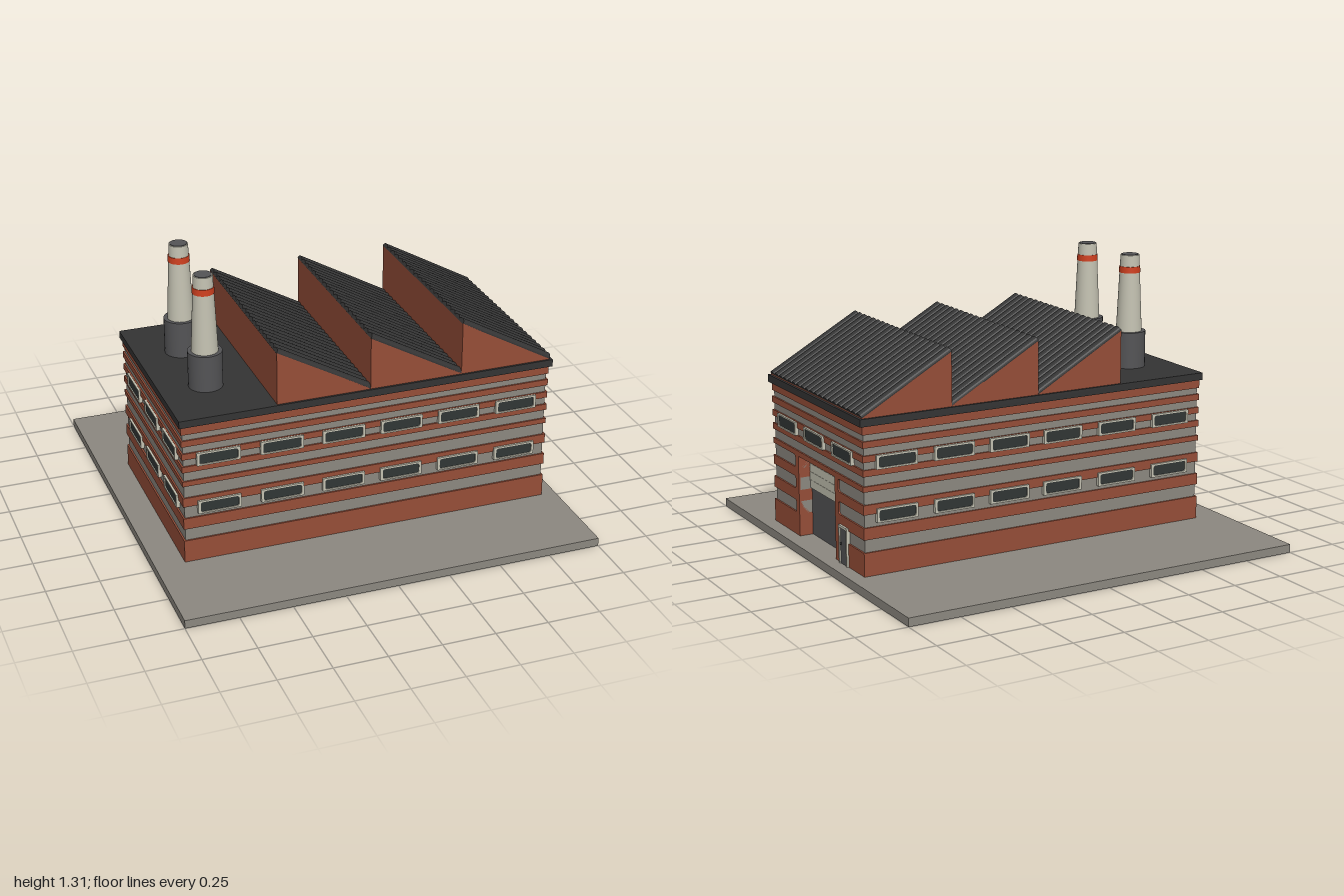
import * as THREE from 'three';

const mat = (name, color) => {
  const m = new THREE.MeshStandardMaterial({ color });
  m.name = name;
  return m;
};

export function createModel() {
  const brick = mat('brick red', 0x964e38);
  const stone = mat('stone grey', 0x8c8880);
  const roofDark = mat('roof dark', 0x343434);
  const cream = mat('cream', 0xc4c2b2);
  const steel = mat('steel grey', 0x545456);
  const glass = mat('window glass', 0x313635);
  const signal = mat('signal red', 0xd0401f);
  const slabStone = mat('slab grey', 0x8c8880);
  slabStone.side = THREE.DoubleSide;

  const model = new THREE.Group();
  model.name = 'factory';
  const add = (name, geo, material, x = 0, y = 0, z = 0, parent = model) => {
    const m = new THREE.Mesh(geo, material);
    m.name = name;
    m.position.set(x, y, z);
    parent.add(m);
    return m;
  };
  // box given by its minimum and maximum corners
  const block = (name, material, x0, x1, y0, y1, z0, z1) =>
    add(name, new THREE.BoxGeometry(x1 - x0, y1 - y0, z1 - z0), material,
      (x0 + x1) / 2, (y0 + y1) / 2, (z0 + z1) / 2);
  const extrude = (shape, depth, curveSegments = 4) =>
    new THREE.ExtrudeGeometry(shape, { depth, bevelEnabled: false, curveSegments });

  const X0 = -0.86, X1 = 0.93, Z0 = -0.44, Z1 = 0.54;
  const GROUND = 0.04, EAVE = 0.73, ROOF = 0.765;
  const GATE0 = -0.145, GATE1 = 0.25, GATE_TOP = 0.43, RECESS = 0.07;

  // Ground slab, open underneath
  const slab = new THREE.BoxGeometry(2, GROUND, 2);
  slab.clearGroups();
  slab.addGroup(0, 18, 0);
  slab.addGroup(24, 12, 0);
  add('groundSlab', slab, [slabStone], 0, GROUND / 2, 0);

  // Walls: stacked courses, the grey ones set back, with a notch for the gate
  const course = (name, material, y0, y1, inset) => {
    const a = X0 + inset, b = X1 - inset, n = -Z0 - inset, s = -Z1 + inset;
    const pts = [[a, s], [b, s]];
    if (y1 <= GATE_TOP + 0.001) {
      pts.push([b, -GATE1], [X1 - RECESS, -GATE1], [X1 - RECESS, -GATE0], [b, -GATE0]);
    }
    pts.push([b, n], [a, n]);
    const geo = extrude(new THREE.Shape(pts.map(p => new THREE.Vector2(...p))), y1 - y0);
    add(name, geo.rotateX(-Math.PI / 2), material, 0, y0, 0);
  };
  const bands = [[0.15, 0.21], [0.265, 0.325], [0.37, 0.43], [0.455, 0.5],
    [0.53, 0.565], [0.595, 0.63], [0.66, 0.69]];
  let level = GROUND;
  for (const [a, b] of bands) {
    course('brickCourse', brick, level, a, 0);
    course('greyCourse', stone, a, b, 0.008);
    level = b;
  }
  course('brickCourse', brick, level, EAVE, 0);

  // Gate jambs with rounded ends for the grey courses
  const jamb = side => {
    const w = 0.035, r = 0.016, s = new THREE.Shape();
    s.moveTo(0, GROUND);
    s.lineTo(0, GATE_TOP);
    for (const [a, b] of bands.slice(0, 3).reverse()) {
      s.lineTo(side * (w + r), b);
      s.quadraticCurveTo(side * w, b, side * w, b - r);
      s.lineTo(side * w, a + r);
      s.quadraticCurveTo(side * w, a, side * (w + r), a);
    }
    s.lineTo(side * (w + r), GROUND);
    return extrude(s, RECESS).rotateY(Math.PI / 2);
  };
  add('gateJambLeft', jamb(-1), brick, X1 - RECESS, 0, GATE1);
  add('gateJambRight', jamb(1), brick, X1 - RECESS, 0, GATE0);

  // Gate: dark doorway below a half-raised slatted shutter
  const gx = X1 - RECESS;
  block('gateDoorway', steel, gx - 0.01, gx + 0.003, GROUND, GATE_TOP, GATE0, GATE1);
  for (let i = 0; i < 4; i++) {
    block('shutterSlat', cream, gx, gx + 0.012, 0.27 + i * 0.04, 0.309 + i * 0.04, GATE0, GATE1);
  }

  // Side door
  block('doorFrameTop', cream, X1 - 0.01, X1 + 0.01, 0.21, 0.222, -0.28, -0.195);
  for (const z of [-0.28, -0.205]) {
    block('doorFramePost', cream, X1 - 0.01, X1 + 0.01, GROUND, 0.21, z, z + 0.01);
  }
  block('doorLeaf', steel, X1 - 0.01, X1 + 0.004, GROUND, 0.21, -0.27, -0.205);
  block('doorHandle', roofDark, X1 + 0.004, X1 + 0.011, 0.128, 0.142, -0.216, -0.21);

  // Windows
  const rounded = (Type, w, h, r) => {
    const s = new Type(), x = w / 2, y = h / 2;
    s.moveTo(-x + r, -y);
    s.lineTo(x - r, -y); s.quadraticCurveTo(x, -y, x, -y + r);
    s.lineTo(x, y - r); s.quadraticCurveTo(x, y, x - r, y);
    s.lineTo(-x + r, y); s.quadraticCurveTo(-x, y, -x, y - r);
    s.lineTo(-x, -y + r); s.quadraticCurveTo(-x, -y, -x + r, -y);
    return s;
  };
  const frameShape = rounded(THREE.Shape, 0.205, 0.065, 0.003);
  frameShape.holes.push(rounded(THREE.Path, 0.182, 0.05, 0.012));
  const frameGeo = extrude(frameShape, 0.02).translate(0, 0, -0.01);
  const paneGeo = extrude(rounded(THREE.Shape, 0.186, 0.054, 0.012), 0.015).translate(0, 0, -0.01);
  const windowAt = (x, y, z, turn) => {
    const g = new THREE.Group();
    g.name = 'window';
    g.position.set(x, y, z);
    g.rotation.y = turn;
    add('windowFrame', frameGeo, cream, 0, 0, 0, g);
    add('windowPane', paneGeo, glass, 0, 0, 0, g);
    model.add(g);
  };
  for (const y of [0.316, 0.561]) {
    for (const x of [-0.69, -0.39, -0.093, 0.19, 0.476, 0.765]) {
      windowAt(x, y, Z1, 0);
      windowAt(x, y, Z0, Math.PI);
    }
    for (const z of [0.36, 0.064, -0.235]) {
      windowAt(X0, y, z, -Math.PI / 2);
      if (y > 0.5) windowAt(X1, y, z, Math.PI / 2);
    }
  }

  // Flat roof
  block('flatRoof', roofDark, -0.87, 0.945, EAVE, ROOF, -0.45, 0.55);

  // Sawtooth roofs: brick wedges under corrugated sheets
  const run = 0.447, low = 0.77, high = 1.02, ribs = 20;
  const wedge = new THREE.Shape();
  wedge.moveTo(0, ROOF - 0.01);
  wedge.lineTo(run, ROOF - 0.01);
  wedge.lineTo(run, low);
  wedge.lineTo(0, high);
  const wedgeGeo = extrude(wedge, Z1 - Z0);

  const sheet = new THREE.Shape();
  const pitch = (Z1 - Z0) / ribs;
  sheet.moveTo(Z0, -0.003);
  for (let i = 0; i < ribs; i++) {
    for (let k = 0; k <= 8; k++) {
      const a = Math.PI * k / 8;
      sheet.lineTo(Z0 + pitch * (i + 0.5 - 0.5 * Math.cos(a)), 0.002 + 0.015 * Math.sin(a));
    }
  }
  sheet.lineTo(Z1, -0.003);
  // the profile lies across z and is drawn out along x
  const slope = Math.atan2(high - low, run);
  const sheetGeo = extrude(sheet, Math.hypot(run, high - low))
    .rotateY(-Math.PI / 2).scale(1, 1, 1).translate(0, 0, 0);
  sheetGeo.rotateY(Math.PI).translate(0, 0, Z0 + Z1).rotateZ(-slope);

  for (let i = 0; i < 3; i++) {
    const x = -0.41 + i * 0.4475;
    add('sawtoothWedge', wedgeGeo, brick, x, 0, Z0);
    add('corrugatedSheet', sheetGeo, roofDark, x, high, 0);
  }

  // Chimneys
  const ring = (r0, r1, y0, y1) =>
    new THREE.CylinderGeometry(r1, r0, y1 - y0, 32).translate(0, (y0 + y1) / 2, 0);
  for (const z of [-0.14, 0.24]) {
    const g = new THREE.Group();
    g.name = 'chimney';
    g.position.set(-0.65, 0, z);
    add('chimneyBase', ring(0.08, 0.08, ROOF - 0.005, 0.94), steel, 0, 0, 0, g);
    add('chimneyShaft', ring(0.062, 0.049, 0.94, 1.225), cream, 0, 0, 0, g);
    add('chimneyBand', ring(0.051, 0.05, 1.225, 1.255), signal, 0, 0, 0, g);
    add('chimneyTop', ring(0.047, 0.045, 1.255, 1.31), cream, 0, 0, 0, g);
    add('chimneyMouth', ring(0.04, 0.04, 1.3, 1.313), steel, 0, 0, 0, g);
    model.add(g);
  }
  return model;
}
